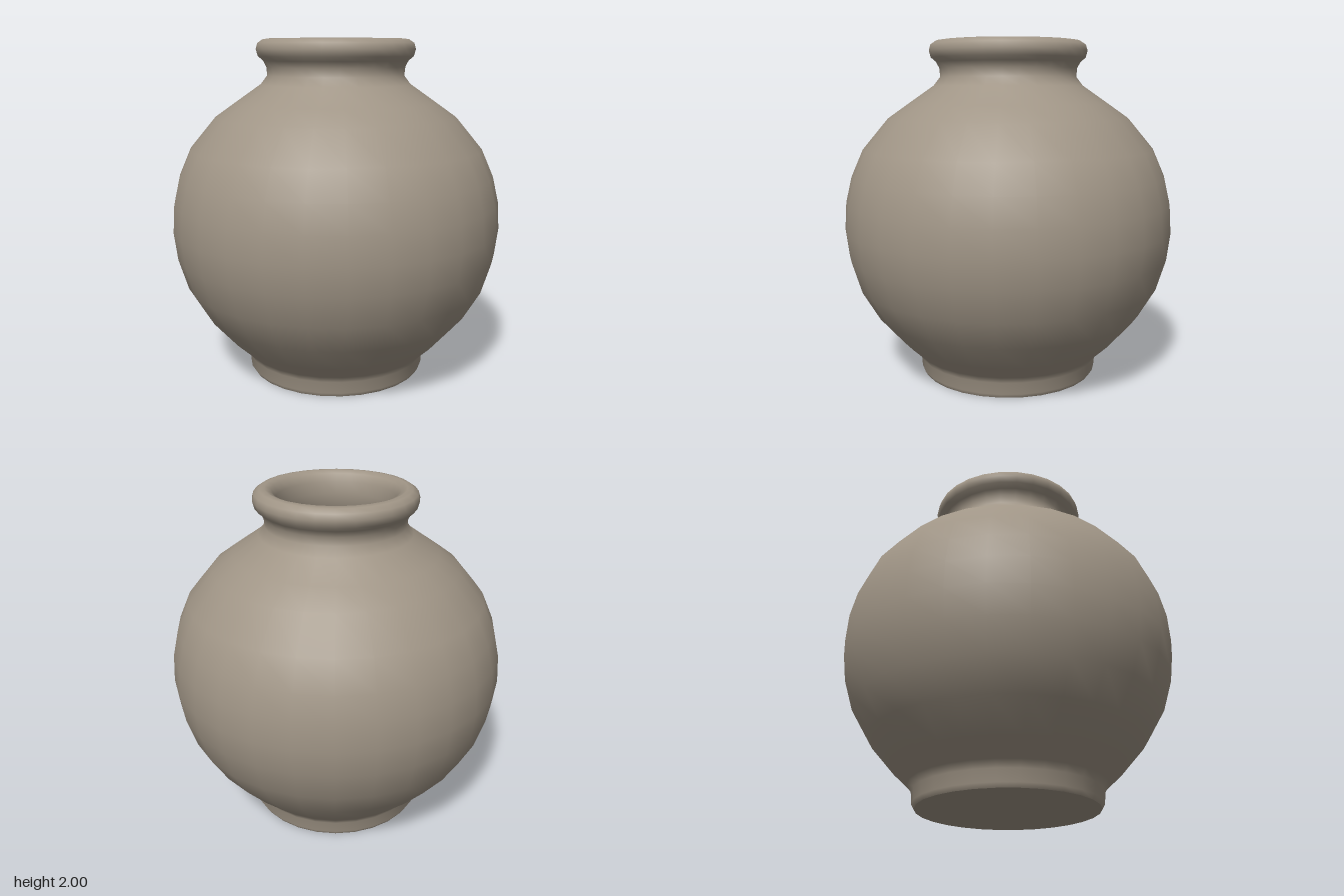
import * as THREE from 'three';

const SEGMENTS = 28;

// Profiles are [radius, height] pairs
const bodyProfile = [
  [0.52, 0.005], [0.535, 0.03], [0.54, 0.1], [0.565, 0.14], [0.66, 0.23], [0.8, 0.39],
  [0.9, 0.56], [0.955, 0.74], [0.975, 0.9], [0.965, 1.06], [0.93, 1.21], [0.86, 1.37],
  [0.71, 1.55], [0.59, 1.635], [0.44, 1.74], [0.402, 1.79],
];
const lipProfile = [
  [0.402, 1.79], [0.407, 1.84], [0.425, 1.875], [0.455, 1.9], [0.466, 1.94], [0.456, 1.975],
  [0.425, 1.996], [0.395, 2], [0.36, 1.985], [0.337, 1.94], [0.33, 1.87], [0.335, 1.79],
];
const hollowProfile = [
  [0.335, 1.79], [0.38, 1.71], [0.54, 1.59], [0.66, 1.5], [0.8, 1.34], [0.87, 1.19],
  [0.91, 0.9], [0.85, 0.58], [0.75, 0.41], [0.6, 0.24], [0.5, 0.12],
];

export function createModel() {
  const clay = new THREE.MeshStandardMaterial({ color: 0xa09586 });
  clay.name = 'clay';
  const vase = new THREE.Group();
  vase.name = 'vase';

  const add = (name, geometry) => {
    const mesh = new THREE.Mesh(geometry, clay);
    mesh.name = name;
    vase.add(mesh);
    return mesh;
  };

  // One continuous sweep keeps normals smooth; each part takes its own band of it
  const profile = [...bodyProfile, ...lipProfile.slice(1), ...hollowProfile.slice(1)];
  const full = new THREE.LatheGeometry(profile.map(([r, y]) => new THREE.Vector2(r, y)), SEGMENTS);
  const rows = profile.length - 1;
  const band = (from, to) => {
    const geometry = full.clone();
    const index = [];
    for (let s = 0; s < SEGMENTS; s++) {
      for (let r = from; r < to; r++) {
        const start = (s * rows + r) * 6;
        for (let k = 0; k < 6; k++) index.push(full.index.getX(start + k));
      }
    }
    geometry.setIndex(index);
    return geometry;
  };
  const lipStart = bodyProfile.length - 1;
  const hollowStart = lipStart + lipProfile.length - 1;
  add('body', band(0, lipStart));
  add('neckAndLip', band(lipStart, hollowStart));
  add('hollow', band(hollowStart, rows));

  // Flat underside and inner floor
  const base = add('base', new THREE.CircleGeometry(0.52, SEGMENTS));
  base.rotation.x = Math.PI / 2;
  base.position.y = 0.005;
  const floor = add('innerFloor', new THREE.CircleGeometry(0.5, SEGMENTS));
  floor.rotation.x = -Math.PI / 2;
  floor.position.y = 0.12;

  return vase;
}
